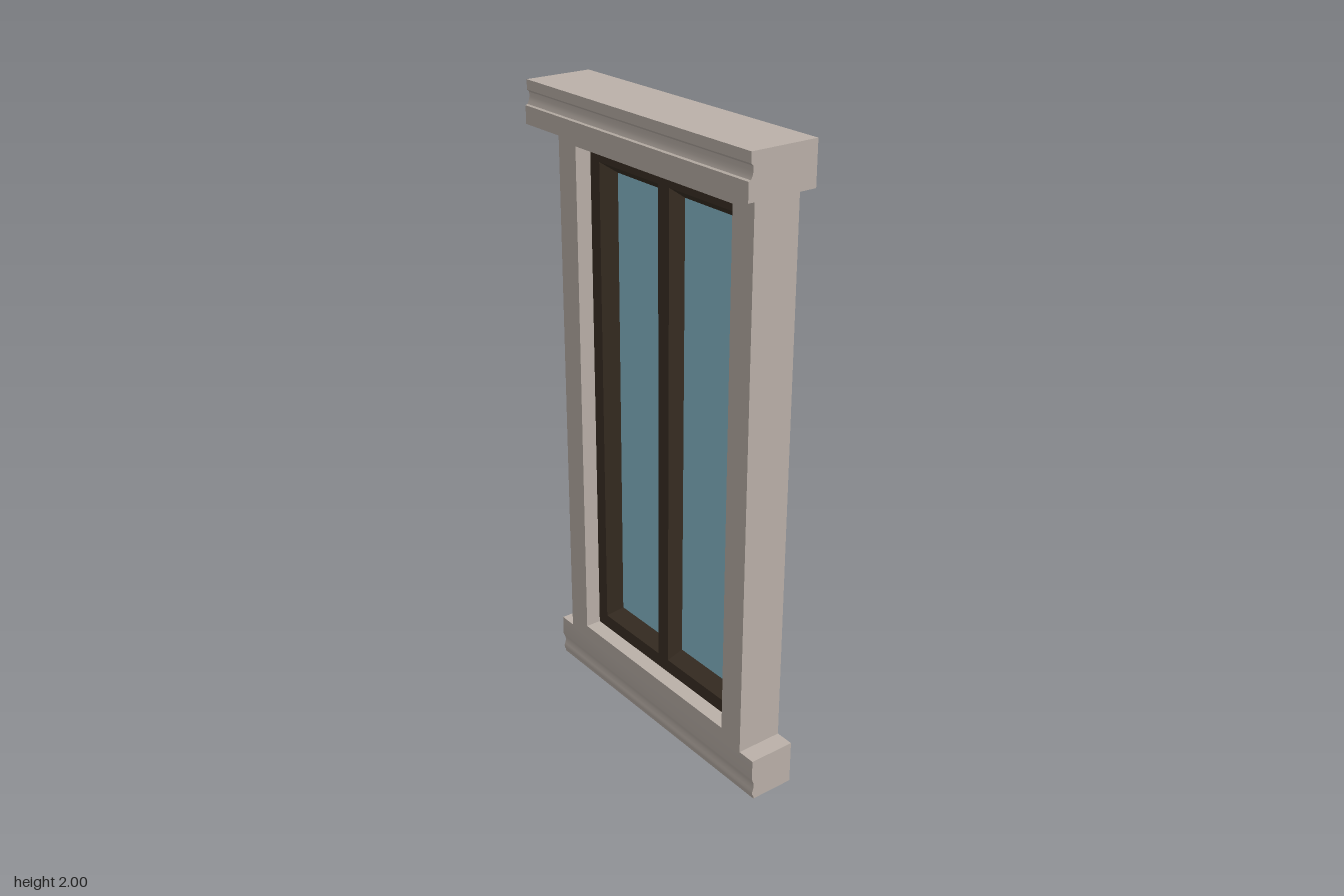
import * as THREE from 'three';
import { toCreasedNormals } from 'three/addons/utils/BufferGeometryUtils.js';

const mat = (name, color) => {
  const m = new THREE.MeshStandardMaterial({ color, side: THREE.DoubleSide });
  m.name = name;
  return m;
};

const BACK = -0.113, WALL = 0.04, FRAME = -0.01, GLASS = -0.055;

// Non-indexed geometry from quads, four corners each
function quads(list) {
  const pos = [];
  for (const [a, b, c, d] of list) pos.push(...a, ...b, ...c, ...a, ...c, ...d);
  const g = new THREE.BufferGeometry();
  g.setAttribute('position', new THREE.Float32BufferAttribute(pos, 3));
  g.computeVertexNormals();
  return g;
}

const corners = ([x0, y0, x1, y1], z) => [[x0, y0, z], [x1, y0, z], [x1, y1, z], [x0, y1, z]];

// Four mitred faces joining two rectangles at different depths
function rectRing(r0, z0, r1, z1) {
  const a = corners(r0, z0), b = corners(r1, z1);
  return quads(a.map((p, i) => [p, a[(i + 1) % 4], b[(i + 1) % 4], b[i]]));
}

// Flat plate with rectangular holes
function plate(rect, holes, z) {
  const pts = r => corners(r, 0).map(p => new THREE.Vector2(p[0], p[1]));
  const s = new THREE.Shape(pts(rect));
  for (const h of holes) s.holes.push(new THREE.Path(pts(h).reverse()));
  return new THREE.ShapeGeometry(s).translate(0, 0, z);
}

export function createModel() {
  const root = new THREE.Group();
  root.name = 'window';
  const stone = mat('stone', 0xbbb1a9);
  const wood = mat('dark wood', 0x3a2f24);
  const glass = mat('glass', 0x88bbcc);

  const add = (name, geo, m, parent = root) => {
    const mesh = new THREE.Mesh(geo, m);
    mesh.name = name;
    parent.add(mesh);
  };

  // Moulding: (z, y) profile from top to bottom, swept along x, open at the back
  function moulding(name, profile, half) {
    const g = new THREE.Group();
    g.name = name;
    root.add(g);
    const p = [[BACK, profile[0][1]], ...profile, [BACK, profile.at(-1)[1]]];
    const strip = p.slice(1).map((q, i) => [
      [-half, p[i][1], p[i][0]], [-half, q[1], q[0]], [half, q[1], q[0]], [half, p[i][1], p[i][0]]]);
    add(name + 'Face', toCreasedNormals(quads(strip), 0.7), stone, g);
    const shape = new THREE.Shape(p.map(q => new THREE.Vector2(q[0], q[1])));
    for (const x of [-half, half])
      add(name + 'End', new THREE.ShapeGeometry(shape).rotateY(-Math.PI / 2).translate(x, 0, 0), stone, g);
  }

  moulding('lintel', [[0.106, 2], [0.106, 1.97], [0.099, 1.963], [0.098, 1.95],
    [0.101, 1.938], [0.106, 1.928], [0.113, 1.925], [0.113, 1.87]], 0.505);
  moulding('sill', [[WALL, 0.14], [WALL, 0.075], [0.036, 0.064], [0.032, 0.053], [0.032, 0.044],
    [0.035, 0.033], [0.038, 0.025], [0.037, 0.016], [0.032, 0.008], [0.032, 0]], 0.505);

  // Stone surround: front plate, outer sides and reveal around the opening
  const opening = [-0.355, 0.18, 0.355, 1.82];
  add('surroundFront', plate([-0.445, 0.14, 0.445, 1.87], [[-0.358, 0.178, 0.358, 1.822]], WALL), stone);
  add('reveal', rectRing([-0.358, 0.178, 0.358, 1.822], WALL, opening, FRAME), stone);
  for (const s of [-1, 1]) {
    const x = 0.445 * s;
    add('jambSide', quads([[[x, 0.14, BACK], [x, 1.87, BACK], [x, 1.87, WALL], [x, 0.14, WALL]]]), stone);
  }

  // Wooden frame with two sunken, bevelled panes
  const sashes = [[-0.31, 0.225, -0.025, 1.778], [0.025, 0.225, 0.31, 1.778]];
  add('frameFront', plate(opening, sashes, FRAME), wood);
  for (const s of [-1, 1]) {
    const sash = sashes[s < 0 ? 0 : 1];
    const pane = s < 0 ? [-0.28, 0.255, -0.04, 1.745] : [0.04, 0.255, 0.28, 1.745];
    add('sashBevel', rectRing(sash, FRAME, pane, GLASS), wood);
    add('pane', plate(pane, [], GLASS), glass);
  }
  return root;
}
